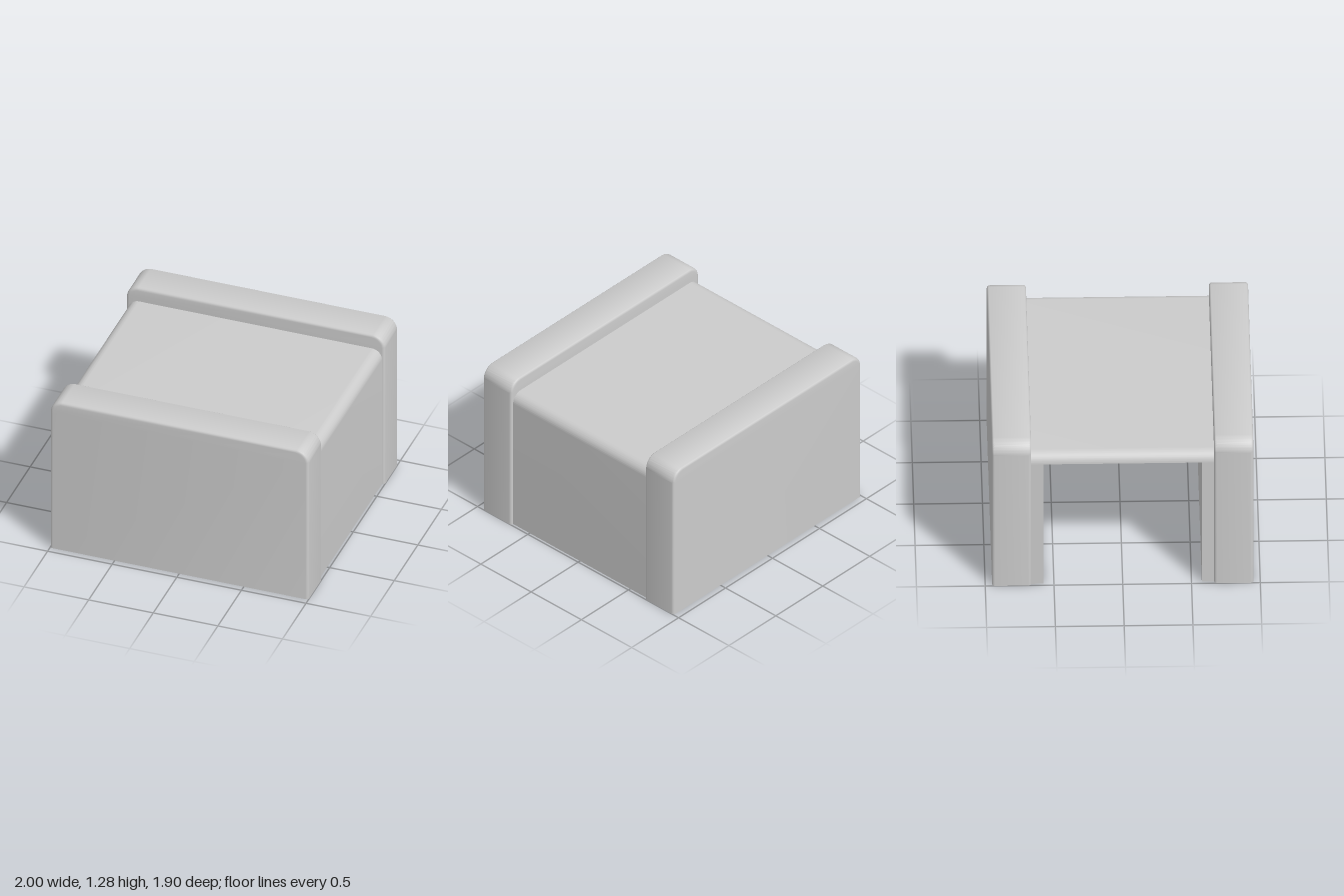
import * as THREE from 'three';
import { toCreasedNormals } from 'three/addons/utils/BufferGeometryUtils.js';

const material = new THREE.MeshStandardMaterial({ color: 0xcccccc, side: THREE.DoubleSide });

function add(group, name, geometry) {
  const mesh = new THREE.Mesh(geometry, material);
  mesh.name = name;
  group.add(mesh);
  return mesh;
}

// Hollow slab with rounded top corners, soft edges and an open underside
function armGeometry(halfWidth, height, depth, radius, bevel) {
  const w = halfWidth - bevel, h = height - bevel, r = radius - bevel;
  const shape = new THREE.Shape();
  shape.moveTo(-w, -0.2);
  shape.lineTo(w, -0.2);
  shape.lineTo(w, h - r);
  shape.absarc(w - r, h - r, r, 0, Math.PI / 2, false);
  shape.lineTo(-w + r, h);
  shape.absarc(-w + r, h - r, r, Math.PI / 2, Math.PI, false);
  shape.closePath();
  const solid = new THREE.ExtrudeGeometry(shape, {
    depth: depth - 2 * bevel, bevelThickness: bevel, bevelSize: bevel,
    bevelSegments: 4, curveSegments: 10,
  });
  solid.translate(0, 0, bevel - depth / 2);

  // Cut at the floor and drop the bottom faces
  const p = solid.attributes.position, kept = [];
  for (let i = 0; i < p.count; i += 3) {
    const tri = [0, 1, 2].map((k) => [p.getX(i + k), Math.max(0, p.getY(i + k)), p.getZ(i + k)]);
    if (tri.some((v) => v[1] > 0)) kept.push(...tri.flat());
  }
  const open = new THREE.BufferGeometry();
  open.setAttribute('position', new THREE.Float32BufferAttribute(kept, 3));
  return toCreasedNormals(open, 0.6);
}

// Sheet that sweeps an xy outline along z
function sheetGeometry(points, z0, z1) {
  const pos = [], index = [];
  points.forEach((q, i) => {
    pos.push(q.x, q.y, z0, q.x, q.y, z1);
    if (i > 0) {
      const a = 2 * i - 2;
      index.push(a, a + 2, a + 3, a, a + 3, a + 1);
    }
  });
  const g = new THREE.BufferGeometry();
  g.setAttribute('position', new THREE.Float32BufferAttribute(pos, 3));
  g.setIndex(index);
  return toCreasedNormals(g, 0.6);
}

export function createModel() {
  const model = new THREE.Group();
  model.name = 'benchWithArms';

  const armInner = 0.665, armOuter = 0.95;
  const bodyX = 0.98, seatY = 1.165, lipY = 1.085, r = seatY - lipY;
  const innerZ = 0.575;

  // Seat, its closed side wall and the rolled lip over the open side
  const outline = new THREE.Path();
  outline.moveTo(bodyX, 0);
  outline.lineTo(bodyX, lipY);
  outline.absarc(bodyX - r, lipY, r, 0, Math.PI / 2, false);
  outline.lineTo(-bodyX + r, seatY);
  outline.absarc(-bodyX + r, lipY, r, Math.PI / 2, Math.PI, false);
  add(model, 'seatShell', sheetGeometry(outline.getPoints(10), -armInner - 0.02, armInner + 0.02));

  // Ceiling of the recess under the seat
  const ceiling = add(model, 'recessCeiling', new THREE.PlaneGeometry(2 * bodyX, 2 * innerZ));
  ceiling.rotation.x = Math.PI / 2;
  ceiling.position.y = lipY;

  for (const [side, s] of [['front', 1], ['back', -1]]) {
    const arm = add(model, side + 'Arm', armGeometry(1, 1.28, armOuter - armInner, 0.1, 0.022));
    arm.position.z = s * (armInner + armOuter) / 2;

    // Inner wall of the recess and the narrow panel closing it against the arm
    const wall = add(model, side + 'InnerWall', new THREE.PlaneGeometry(2 * bodyX, lipY));
    wall.position.set(0, lipY / 2, s * innerZ);
    if (s > 0) wall.rotation.y = Math.PI;

    const panelWidth = armInner + 0.02 - innerZ;
    const panel = add(model, side + 'EndPanel', new THREE.PlaneGeometry(panelWidth, lipY));
    panel.rotation.y = -Math.PI / 2;
    panel.position.set(-bodyX, lipY / 2, s * (innerZ + panelWidth / 2));
  }
  return model;
}
